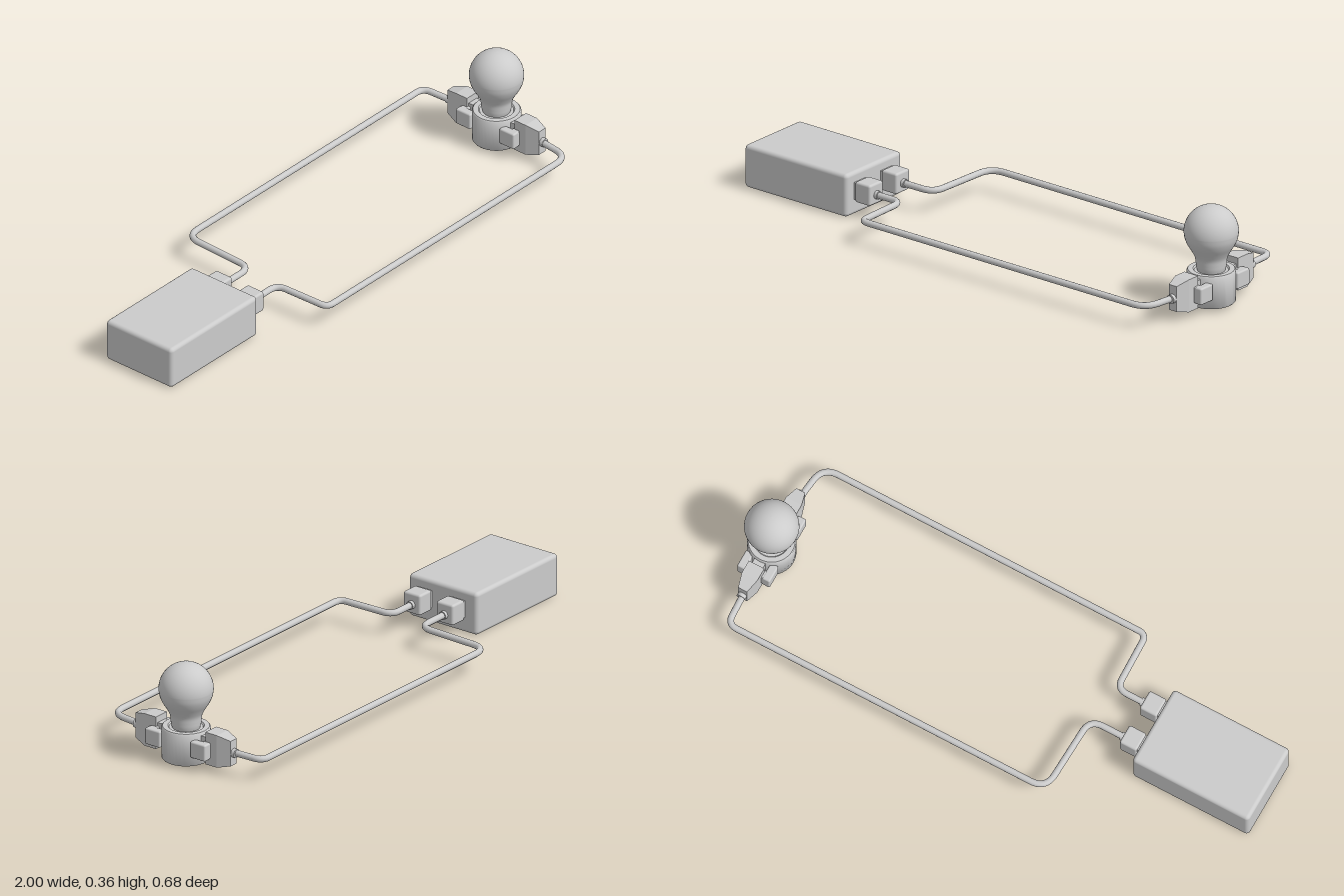
import * as THREE from 'three';
import { RoundedBoxGeometry } from 'three/addons/geometries/RoundedBoxGeometry.js';
import { toCreasedNormals } from 'three/addons/utils/BufferGeometryUtils.js';

const material = new THREE.MeshStandardMaterial({ color: 0xcccccc });
const flat = new THREE.MeshStandardMaterial({ color: 0xcccccc, flatShading: true });
const WIRE_Y = 0.083;

function add(parent, name, geometry, x = 0, y = 0, z = 0, mat = material) {
  const mesh = new THREE.Mesh(geometry, mat);
  mesh.name = name;
  mesh.position.set(x, y, z);
  parent.add(mesh);
  return mesh;
}

const roundBox = (w, h, d, r) => new RoundedBoxGeometry(w, h, d, 3, r);

// Wire through [x, z] corners, each rounded by its radius
function wireGeometry(corners, radius) {
  const pts = corners.map(([x, z]) => new THREE.Vector3(x, WIRE_Y, z));
  const path = new THREE.CurvePath();
  let from = pts[0];
  for (let i = 1; i < pts.length - 1; i++) {
    const r = corners[i][2];
    const a = pts[i].clone().add(pts[i - 1].clone().sub(pts[i]).setLength(r));
    const b = pts[i].clone().add(pts[i + 1].clone().sub(pts[i]).setLength(r));
    path.add(new THREE.LineCurve3(from, a));
    path.add(new THREE.QuadraticBezierCurve3(a, pts[i], b));
    from = b;
  }
  path.add(new THREE.LineCurve3(from, pts[pts.length - 1]));
  return new THREE.TubeGeometry(path, 240, radius, 12);
}

// Plug body: a box whose outer half tapers in height and width
function plugGeometry() {
  const g = new THREE.BoxGeometry(1, 1, 0.098, 1, 1, 4);
  const p = g.attributes.position;
  for (let i = 0; i < p.count; i++) {
    const t = Math.max(0, p.getZ(i) / 0.049);
    p.setX(i, p.getX(i) * (0.06 - 0.026 * t));
    p.setY(i, p.getY(i) * (0.118 - 0.026 * t));
  }
  return g;
}

// Clip that grips the socket, pointing along +z
function createClip() {
  const clip = new THREE.Group();
  add(clip, 'plug', plugGeometry(), 0, 0.084, 0.155, flat);
  add(clip, 'plugNeck', new THREE.BoxGeometry(0.042, 0.06, 0.04), 0, 0.09, 0.09);
  add(clip, 'clipBar', roundBox(0.125, 0.058, 0.03, 0.006), 0, 0.079, 0.113);
  for (const side of [-1, 1]) {
    add(clip, 'clipJaw', roundBox(0.03, 0.06, 0.065, 0.006), side * 0.048, 0.079, 0.097);
  }
  const collar = new THREE.CylinderGeometry(0.016, 0.016, 0.016, 16).rotateX(Math.PI / 2);
  add(clip, 'wireCollar', collar, 0, WIRE_Y, 0.209);
  return clip;
}

export function createModel() {
  const model = new THREE.Group();
  model.name = 'bulbCircuit';

  // Battery with two terminals
  const battery = new THREE.Group();
  battery.name = 'battery';
  model.add(battery);
  add(battery, 'batteryCase', roundBox(0.45, 0.155, 0.294, 0.014), -0.775, 0.0775, 0.031);
  for (const z of [-0.034, 0.107]) {
    add(battery, 'terminalBase', new THREE.BoxGeometry(0.03, 0.062, 0.06), -0.547, 0.087, z);
    add(battery, 'terminal', roundBox(0.066, 0.075, 0.072, 0.008), -0.509, 0.087, z);
    const collar = new THREE.CylinderGeometry(0.015, 0.015, 0.014, 16).rotateZ(Math.PI / 2);
    add(battery, 'terminalCollar', collar, -0.471, WIRE_Y, z);
  }

  // Wires from the terminals to the lamp
  add(model, 'backWire', wireGeometry([
    [-0.49, -0.034], [-0.343, -0.034, 0.05], [-0.332, -0.326, 0.06],
    [0.898, -0.326, 0.035], [0.903, -0.2],
  ], 0.0115));
  add(model, 'frontWire', wireGeometry([
    [-0.49, 0.107], [-0.368, 0.107, 0.04], [-0.362, 0.326, 0.03],
    [0.888, 0.326, 0.06], [0.903, 0.2],
  ], 0.0115));

  // Lamp: socket, bulb and a clip on each side
  const lamp = new THREE.Group();
  lamp.name = 'lamp';
  lamp.position.set(0.905, 0, -0.004);
  model.add(lamp);

  const socketProfile = [
    [0, 0.018], [0.062, 0.018], [0.066, 0.013], [0.08, 0.013], [0.084, 0.018],
    [0.084, 0.126], [0.08, 0.131], [0.062, 0.131], [0.058, 0.126], [0, 0.126],
  ].map(([r, y]) => new THREE.Vector2(r, y));
  add(lamp, 'socket', toCreasedNormals(new THREE.LatheGeometry(socketProfile, 40), 0.7));

  // Glass: a curved neck that runs into a round top
  const neck = new THREE.SplineCurve([
    [0.046, 0.12], [0.051, 0.138], [0.053, 0.155], [0.056, 0.175], [0.067, 0.197],
    [0.081, 0.22], [0.0905, 0.243], [0.094, 0.266],
  ].map(([r, y]) => new THREE.Vector2(r, y))).getPoints(28);
  const dome = [];
  for (let i = 1; i <= 16; i++) {
    const a = (i / 16) * Math.PI / 2;
    dome.push(new THREE.Vector2(Math.max(0, 0.094 * Math.cos(a)), 0.266 + 0.094 * Math.sin(a)));
  }
  add(lamp, 'bulb', new THREE.LatheGeometry([...neck, ...dome], 40));

  const frontClip = createClip();
  frontClip.name = 'frontClip';
  const backClip = createClip();
  backClip.name = 'backClip';
  backClip.rotation.y = Math.PI;
  lamp.add(frontClip, backClip);

  return model;
}
